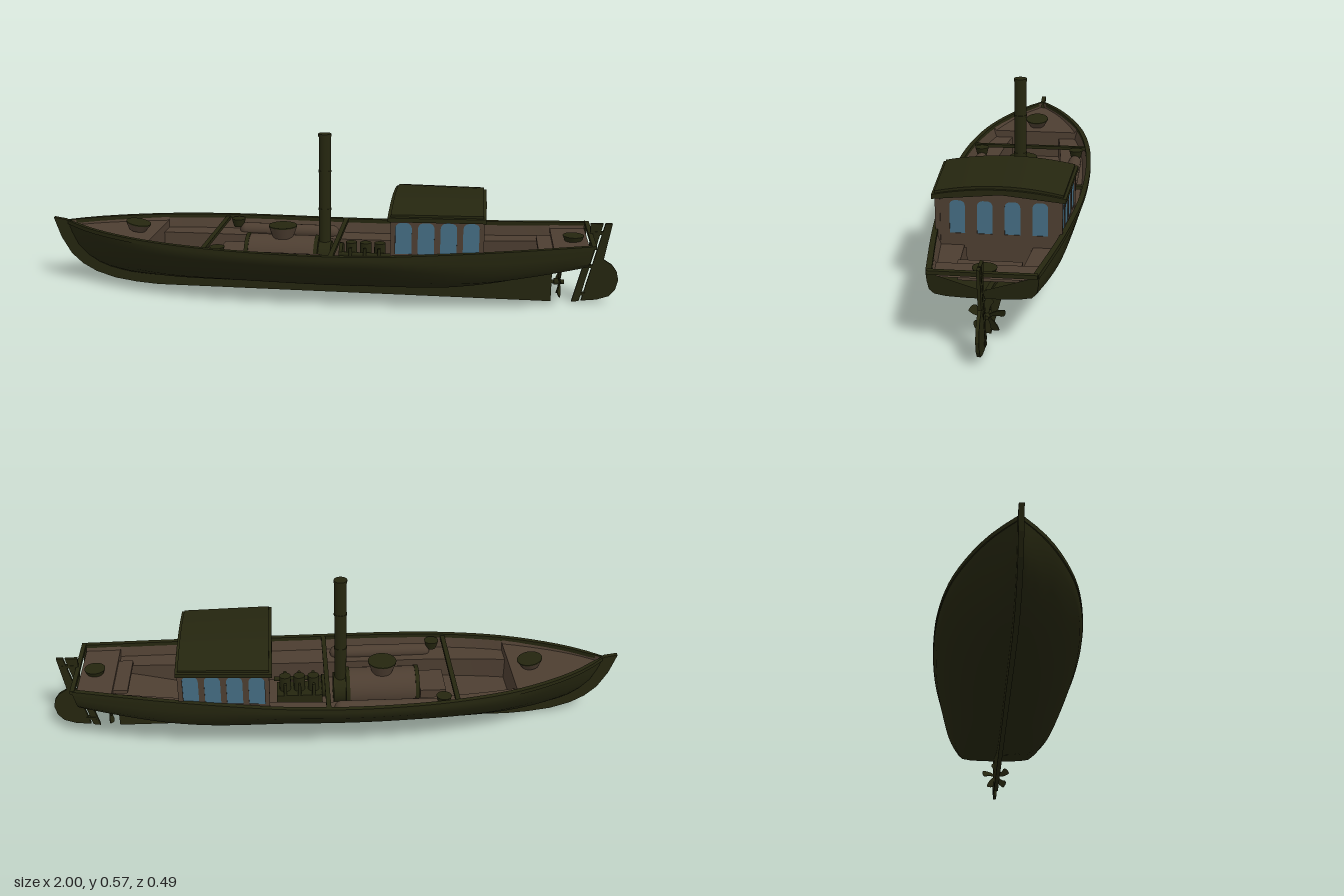
import * as THREE from 'three';
import { toCreasedNormals } from 'three/addons/utils/BufferGeometryUtils.js';

const mat = (name, color) => Object.assign(new THREE.MeshStandardMaterial({ color, side: THREE.DoubleSide }), { name });
const olive = mat('dark olive paint', 0x25260f);
const brown = mat('brown wood', 0x4d3e31);
const glass = mat('blue glass', 0x446c82);

// Hull lines along x: half beam, sheer height and bottom height
const curve = (xs, ys) => {
  const c = new THREE.CubicInterpolant(xs, ys, 1, new Float32Array(1));
  return x => c.evaluate(x)[0];
};
const beam = curve([-0.95, -0.9, -0.85, -0.75, -0.6, -0.4, -0.2, 0, 0.2, 0.4, 0.6, 0.9],
  [0.004, 0.045, 0.08, 0.132, 0.187, 0.226, 0.242, 0.244, 0.236, 0.218, 0.196, 0.155]);
const sheer = curve([-0.95, -0.8, -0.4, 0, 0.2, 0.4, 0.6, 0.9], [0.224, 0.217, 0.206, 0.2, 0.203, 0.212, 0.223, 0.243]);
const bottom = curve([-0.95, -0.92, -0.85, -0.75, -0.6, -0.3, 0.2, 0.4, 0.55, 0.7, 0.88],
  [0.2, 0.14, 0.078, 0.045, 0.032, 0.03, 0.03, 0.045, 0.075, 0.115, 0.16]);

// Normalised half sections, keel to sheer
const BOW = [[0, 0], [0.22, 0.1], [0.46, 0.27], [0.68, 0.5], [0.87, 0.76], [0.95, 0.9], [1, 1]];
const MID = [[0, 0], [0.25, 0.09], [0.49, 0.21], [0.74, 0.44], [0.96, 0.77], [1, 0.92], [0.99, 1]];
const AFT = [[0, 0], [0.35, 0.01], [0.65, 0.04], [0.87, 0.12], [0.96, 0.3], [0.99, 0.65], [1, 1]];

function hullRing(x) {
  const tb = THREE.MathUtils.smoothstep(-x, 0.5, 0.95), ta = THREE.MathUtils.smoothstep(x, 0.1, 0.88);
  const b = beam(x), k = bottom(x), h = sheer(x) - k;
  const half = MID.map((m, i) => {
    const mix = j => m[j] + (BOW[i][j] - m[j]) * tb + (AFT[i][j] - m[j]) * ta;
    const y = k + mix(1) * h;
    return [x > 0.87 ? x + (y - 0.16) * 0.2 : x, y, mix(0) * b];
  });
  return [...half.slice(1).reverse().map(([a, y, z]) => [a, y, -z]), ...half];
}

// Skin a row of equal-length cross-sections, optionally closing the ends
function loft(rings, caps = [false, false], crease = 0.6) {
  const centre = r => {
    const c = [0, 1, 2].map(j => r.reduce((s, p) => s + p[j], 0) / r.length);
    return r.map(() => c);
  };
  const all = [...rings];
  if (caps[0]) all.unshift(centre(rings[0]));
  if (caps[1]) all.push(centre(rings.at(-1)));
  const n = all[0].length, idx = [];
  for (let i = 0; i < all.length - 1; i++)
    for (let j = 0; j < n - 1; j++) {
      const a = i * n + j, b = a + n;
      idx.push(a, a + 1, b, a + 1, b + 1, b);
    }
  const g = new THREE.BufferGeometry();
  g.setAttribute('position', new THREE.Float32BufferAttribute(all.flat(2), 3));
  g.setIndex(idx);
  return toCreasedNormals(g, crease);
}
const span = (a, b, n) => Array.from({ length: n + 1 }, (_, i) => a + (b - a) * i / n);

export function createModel() {
  const boat = new THREE.Group();
  boat.name = 'steamLaunch';
  const add = (name, geo, m, p = [0, 0, 0], r = [0, 0, 0], parent = boat) => {
    const o = new THREE.Mesh(geo, m);
    o.name = name;
    o.position.set(...p);
    o.rotation.set(...r);
    parent.add(o);
    return o;
  };
  const box = (name, m, w, h, d, p, r) => add(name, new THREE.BoxGeometry(w, h, d), m, p, r);
  const cyl = (name, m, rt, rb, h, p, r, n = 24) => add(name, new THREE.CylinderGeometry(rt, rb, h, n), m, p, r);
  const plate = (name, pts, t, m) => {
    const g = new THREE.ExtrudeGeometry(new THREE.Shape(pts.map(p => new THREE.Vector2(...p))), { depth: t, bevelEnabled: false });
    return add(name, g.translate(0, 0, -t / 2), m);
  };

  // Hull skin, with the transom closing the stern
  add('hull', loft(span(-0.95, 0.88, 48).map(hullRing), [false, true]), olive);

  // Inner lining: decks at the ends, benches and sunken floor between them
  const inner = (x, deck) => {
    const b = beam(x), s = sheer(x), w = b * 0.52;
    const bench = s - (deck ? 0.018 : 0.045);
    const floor = deck ? bench : Math.max(0.09, bottom(x) + 0.03);
    const half = [[b - 0.01, s], [b * 0.92 - 0.008, bench], [w, bench], [w, floor]].map(([z, y]) => [x, y, Math.max(z, 0.001)]);
    return [...half, ...half.map(([a, y, z]) => [a, y, -z]).reverse()];
  };
  add('lining', loft([
    ...span(-0.94, -0.62, 10).map(x => inner(x, true)),
    ...span(-0.62, 0.77, 28).map(x => inner(x, false)),
    ...span(0.77, 0.888, 4).map(x => inner(x, true))], [false, false], 0.4), brown);

  // Gunwales
  for (const side of [1, -1])
    add('gunwale', loft(span(-0.95, 0.895, 40).map(x => {
      const o = beam(x) + 0.002, i = Math.max(beam(x) - 0.015, 0), s = sheer(x);
      return [[o, s - 0.01], [o, s + 0.004], [i, s + 0.004], [i, s - 0.01], [o, s - 0.01]].map(([z, y]) => [x, y, side * z]);
    }), [true, true]), olive);
  box('transomCap', olive, 0.015, 0.012, 0.31, [0.896, 0.242, 0]);

  // Stem, keel and skeg in one plate
  plate('keel', [[-1, 0.237], [-0.975, 0.165], [-0.94, 0.105], [-0.9, 0.068], [-0.85, 0.04], [-0.78, 0.018], [-0.7, 0.006], [-0.62, 0],
    [0.775, 0], [0.775, 0.14], [0.7, 0.125], [0.55, 0.085], [0.4, 0.055], [0.2, 0.04], [-0.6, 0.04], [-0.75, 0.055],
    [-0.85, 0.09], [-0.91, 0.145], [-0.94, 0.22], [-0.955, 0.23]], 0.016, olive);

  // Stern post and rudder
  plate('sternPost', [[0.845, 0], [0.87, 0.004], [0.938, 0.283], [0.895, 0.283], [0.895, 0.2]], 0.01, olive);
  plate('rudder', [[0.878, 0.006], [0.93, 0.012], [0.97, 0.026], [0.99, 0.05], [0.999, 0.085], [0.992, 0.115], [0.975, 0.138],
    [0.946, 0.156], [0.968, 0.284], [0.945, 0.284]], 0.01, olive);
  for (const y of [0.03, 0.13, 0.25]) box('rudderHinge', olive, 0.04, 0.01, 0.014, [0.871 + y * 0.24, y, 0]);

  // Propeller
  cyl('shaft', olive, 0.007, 0.007, 0.16, [0.73, 0.07, 0], [0, 0, Math.PI / 2], 12);
  cyl('propellerHub', olive, 0.007, 0.012, 0.035, [0.8, 0.07, 0], [0, 0, -Math.PI / 2], 12);
  const blade = new THREE.Shape();
  blade.moveTo(-0.004, 0.006);
  blade.quadraticCurveTo(-0.016, 0.035, -0.004, 0.056);
  blade.quadraticCurveTo(0.022, 0.052, 0.018, 0.038);
  blade.quadraticCurveTo(0.006, 0.028, 0.005, 0.006);
  const bladeGeo = new THREE.ExtrudeGeometry(blade, { depth: 0.003, bevelEnabled: false });
  bladeGeo.rotateY(Math.PI / 2 + 0.45);
  for (let i = 0; i < 5; i++) add('propellerBlade', bladeGeo, olive, [0.8, 0.07, 0], [i * Math.PI * 0.4, 0, 0]);

  // Cabin walls with arched openings and glazing
  const cabin = new THREE.Group();
  cabin.name = 'cabin';
  boat.add(cabin);
  const arch = (path, c, w, y0, y1) => {
    const h = w / 2, r = w * 0.42;
    path.moveTo(c - h, y0);
    path.lineTo(c + h, y0);
    path.lineTo(c + h, y1 - r);
    path.quadraticCurveTo(c + h, y1, c + h - r, y1);
    path.lineTo(c - h + r, y1);
    path.quadraticCurveTo(c - h, y1, c - h, y1 - r);
    path.closePath();
    return path;
  };
  const wall = (name, [x0, z0], [x1, z1], crown, w, pitch) => {
    const len = Math.hypot(x1 - x0, z1 - z0), g = new THREE.Group();
    g.name = name;
    g.position.set((x0 + x1) / 2, 0, (z0 + z1) / 2);
    g.rotation.y = -Math.atan2(z1 - z0, x1 - x0);
    const s = new THREE.Shape();
    s.moveTo(-len / 2, 0.165);
    s.lineTo(len / 2, 0.165);
    s.lineTo(len / 2, 0.338);
    s.quadraticCurveTo(0, 0.338 + crown * 2, -len / 2, 0.338);
    for (let i = 0; i < 4; i++) {
      const c = (i - 1.5) * pitch;
      s.holes.push(arch(new THREE.Path(), c, w, 0.213, 0.32));
      const pane = new THREE.ExtrudeGeometry(arch(new THREE.Shape(), c, w, 0.213, 0.32), { depth: 0.006, bevelEnabled: false });
      add('windowPane', pane, glass, [0, 0, -0.003], [0, 0, 0], g);
    }
    add('wallPanel', new THREE.ExtrudeGeometry(s, { depth: 0.01, bevelEnabled: false }), brown, [0, 0, -0.005], [0, 0, 0], g);
    cabin.add(g);
  };
  const xf = 0.24, xa = 0.53, zf = 0.208, za = 0.188;
  wall('sideWall', [xf, zf], [xa, za], 0, 0.054, 0.074);
  wall('sideWall', [xa, -za], [xf, -zf], 0, 0.054, 0.074);
  wall('foreWall', [xf, -zf], [xf, zf], 0.02, 0.05, 0.092);
  wall('aftWall', [xa, za], [xa, -za], 0.02, 0.048, 0.085);
  for (const [x, z] of [[xf, zf], [xf, -zf], [xa, za], [xa, -za]])
    box('cornerPost', brown, 0.016, 0.15, 0.016, [x, 0.262, z]);
  box('foreBulkhead', brown, 0.01, 0.09, 0.236, [xf, 0.13, 0]);
  box('aftBulkhead', brown, 0.01, 0.07, 0.2, [xa, 0.145, 0]);

  // Cambered roof over a slightly wider eave
  const roof = (name, x0, w0, x1, w1, top, t) => add(name, loft([[x0, w0], [x1, w1]].map(([x, w]) => {
    const arc = d => span(-1, 1, 12).map(u => [x, top - d - 0.022 * u * u, u * w]);
    const ring = [...arc(0), ...arc(t).reverse()];
    return [...ring, ring[0]];
  }), [true, true]), olive);
  roof('roofEave', 0.222, 0.223, 0.543, 0.206, 0.36, 0.014);
  roof('roof', 0.232, 0.213, 0.534, 0.198, 0.369, 0.014);

  // Boiler, smokebox and tall funnel
  const along = [0, 0, Math.PI / 2];
  cyl('boiler', brown, 0.07, 0.07, 0.25, [-0.16, 0.13, 0], along, 32);
  for (const x of [-0.285, -0.04]) cyl('boilerEnd', olive, 0.073, 0.073, 0.014, [x, 0.13, 0], along, 32);
  cyl('smokebox', olive, 0.055, 0.055, 0.05, [-0.015, 0.13, 0], along);
  cyl('funnel', olive, 0.021, 0.021, 0.43, [-0.015, 0.35, -0.006]);
  for (const [y, h] of [[0.562, 0.01], [0.435, 0.006], [0.3, 0.006]]) cyl('funnelBand', olive, 0.0228, 0.0228, h, [-0.015, y, -0.006]);
  cyl('steamDome', brown, 0.05, 0.036, 0.04, [-0.163, 0.214, 0]);
  cyl('steamDomeLid', olive, 0.05, 0.05, 0.004, [-0.163, 0.235, 0]);
  box('fireboxCasing', brown, 0.09, 0.06, 0.13, [-0.34, 0.12, 0]);

  // Engine
  box('engineBed', olive, 0.16, 0.04, 0.09, [0.13, 0.11, 0]);
  for (let i = 0; i < 3; i++) {
    cyl('engineCylinder', olive, 0.02, 0.02, 0.06, [0.08 + i * 0.05, 0.155, 0], [0, 0, 0], 16);
    for (const z of [-0.04, 0.04]) cyl('engineColumn', olive, 0.006, 0.006, 0.05, [0.08 + i * 0.05, 0.15, z], [0, 0, 0], 8);
  }
  cyl('engineShaft', olive, 0.008, 0.008, 0.18, [0.13, 0.15, 0.035], along, 10);
  cyl('flywheel', olive, 0.04, 0.04, 0.012, [0.045, 0.14, 0], along);

  // Cross beams and padded side lockers
  for (const [x, w] of [[-0.405, 0.44], [0.035, 0.47]]) box('crossBeam', olive, 0.016, 0.012, w, [x, 0.198, 0]);
  for (const side of [1, -1]) {
    add('sideLocker', new THREE.CapsuleGeometry(0.024, 0.32, 6, 16), brown, [-0.17, 0.166, side * 0.178], along);
    cyl('sideVent', olive, 0.026, 0.018, 0.03, [-0.36, 0.19, side * 0.18]);
  }

  // Deck fittings fore and aft
  cyl('foreDishBase', brown, 0.044, 0.03, 0.026, [-0.69, 0.213, 0], [0, 0, -0.2]);
  cyl('foreDishLid', olive, 0.044, 0.044, 0.004, [-0.687, 0.227, 0], [0, 0, -0.2]);
  cyl('aftDish', olive, 0.036, 0.028, 0.02, [0.84, 0.228, 0]);

  // Stern bench backrest
  box('sternSeat', brown, 0.05, 0.012, 0.19, [0.745, 0.2, 0]);
  return boat;
}
